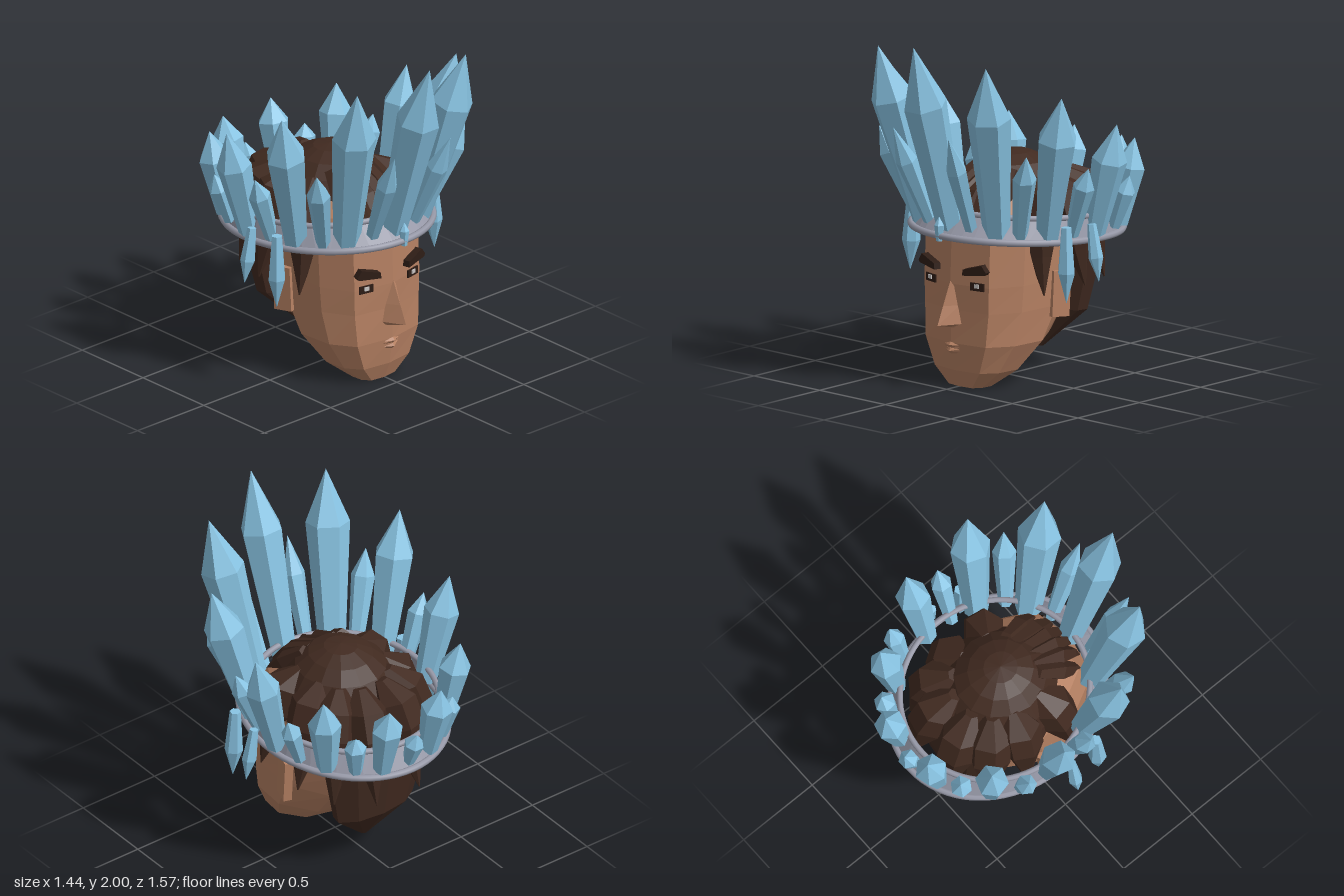
import * as THREE from 'three';

const V = (x, y, z) => new THREE.Vector3(x, y, z);

// Flat-shaded skin over cross-sections that run counter-clockwise around the loft direction
function loft(rings, caps = true) {
  const pos = [];
  const tri = (a, b, c) => [a, b, c].forEach(p => pos.push(p.x, p.y, p.z));
  const n = rings[0].length;
  for (let k = 0; k < rings.length - 1; k++) {
    for (let i = 0; i < n; i++) {
      const j = (i + 1) % n, a = rings[k], b = rings[k + 1];
      tri(a[i], a[j], b[j]);
      tri(a[i], b[j], b[i]);
    }
  }
  if (caps) {
    const first = rings[0], last = rings[rings.length - 1];
    for (let i = 1; i < n - 1; i++) {
      tri(first[0], first[i + 1], first[i]);
      tri(last[0], last[i], last[i + 1]);
    }
  }
  const g = new THREE.BufferGeometry();
  g.setAttribute('position', new THREE.Float32BufferAttribute(pos, 3));
  g.computeVertexNormals();
  return g;
}

// Tapered n-sided spike through a few points, with corners along the crown's tangent
function spike(points, radii, n = 6) {
  const d = points[points.length - 1].clone().sub(points[0]).normalize();
  const u = V(points[0].z, 0, -points[0].x);
  u.addScaledVector(d, -d.dot(u)).normalize();
  const v = d.clone().cross(u);
  return loft(points.map((p, k) => Array.from({ length: n }, (_, i) => {
    const a = i / n * Math.PI * 2;
    return p.clone().addScaledVector(u, Math.cos(a) * radii[k]).addScaledVector(v, Math.sin(a) * radii[k]);
  })));
}

// Horizontal head-shaped section: height, half width, front z, back z
function section([y, w, zf, zb]) {
  const half = [[0, 1], [0.68, 0.94], [0.95, 0.73], [1, 0.4], [0.62, 0.1], [0, 0]];
  const mirrored = half.slice(1, 5).reverse().map(([x, f]) => [-x, f]);
  return half.concat(mirrored).map(([x, f]) => V(x * w, y, zb + (zf - zb) * f));
}

// Triangular section for nose and lips: height, half width, ridge z
const wedge = ([y, w, z]) => [V(0, y, z), V(w, y, 0.447), V(-w, y, 0.447)];

export function createModel() {
  const model = new THREE.Group();
  const mat = (name, color) => {
    const m = new THREE.MeshStandardMaterial({ color });
    m.name = name;
    return m;
  };
  const skin = mat('skin', 0xb58062);
  const hair = mat('hair', 0x412a20);
  const dark = mat('dark brown', 0x2e1d16);
  const white = mat('eye white', 0xc9c5c4);
  const ice = mat('ice blue', 0x88c3e2);
  const metal = mat('metal', 0x9799a8);
  metal.side = THREE.DoubleSide;
  const add = (name, geometry, material) => {
    const m = new THREE.Mesh(geometry, material);
    m.name = name;
    model.add(m);
    return m;
  };

  // Head, nose and lips
  add('head', loft([
    [0, 0.13, 0.4, 0.19], [0.1, 0.25, 0.44, 0.02], [0.26, 0.335, 0.465, -0.18],
    [0.45, 0.355, 0.465, -0.34], [0.6, 0.36, 0.47, -0.39], [0.86, 0.36, 0.46, -0.42],
    [1.0, 0.32, 0.38, -0.38], [1.12, 0.22, 0.22, -0.28]
  ].map(section)), skin);
  add('nose', loft([[0.35, 0.05, 0.47], [0.375, 0.07, 0.575], [0.48, 0.05, 0.53], [0.62, 0.03, 0.468]].map(wedge)), skin);
  add('lowerLip', loft([[0.2, 0.035, 0.465], [0.215, 0.055, 0.48], [0.23, 0.06, 0.468]].map(wedge)), skin);
  add('upperLip', loft([[0.235, 0.07, 0.47], [0.25, 0.07, 0.482], [0.265, 0.04, 0.468]].map(wedge)), skin);

  // Ears, eyes and brows
  for (const s of [1, -1]) {
    const ear = add('ear', new THREE.BoxGeometry(0.05, 0.26, 0.11), skin);
    ear.position.set(s * 0.37, 0.52, -0.025);
    ear.rotation.set(-0.06, s * -0.3, 0);

    const eye = new THREE.Group();
    eye.name = 'eye';
    [[0.09, 0.045, 0, 0, dark], [0.03, 0.022, 0.005, 0.007, white]].forEach(([w, h, y, z, m]) => {
      const plate = new THREE.Mesh(new THREE.BoxGeometry(w, h, 0.008), m);
      plate.name = 'eyePlate';
      plate.position.set(0, y, z);
      eye.add(plate);
    });
    eye.position.set(s * 0.175, 0.602, 0.438);
    eye.rotation.y = s * 0.2;
    model.add(eye);

    const shape = new THREE.Shape([[0.095, 0.665], [0.24, 0.68], [0.25, 0.695], [0.22, 0.735], [0.1, 0.7]]
      .map(([x, y]) => new THREE.Vector2(s * x, y)));
    const brow = add('brow', new THREE.ExtrudeGeometry(shape, { depth: 0.055, bevelEnabled: false }), dark);
    brow.position.z = 0.455;
    brow.rotation.y = s * 0.22;
  }

  // Hair: cap, hanging locks, fringe and long back piece
  const cap = new THREE.SphereGeometry(1, 14, 6, 0, Math.PI * 2, 0, Math.PI / 2);
  cap.scale(0.36, 0.42, 0.38);
  cap.translate(0, 0.865, -0.05);
  const flatCap = cap.toNonIndexed();
  flatCap.computeVertexNormals();
  add('hairCap', flatCap, hair);

  const locks = [[0.33, 0.1], [0.33, -0.17], [0.27, -0.36], [0.12, -0.48]];
  for (const s of [1, -1]) {
    for (const [x, z] of locks) {
      const at = (k, y) => V(s * x * k, y, -0.08 + (z + 0.08) * k);
      add('hairLock', spike([at(0.6, 1.16), at(0.85, 1.07), at(1, 0.92), at(1.1, 0.74), at(1.24, 0.54)],
        [0.04, 0.12, 0.12, 0.065, 0.004]), hair);
    }
    for (const [x, z] of [[0.035, 0.42], [0.11, 0.41], [0.19, 0.36]]) {
      add('fringeLock', spike([V(s * x * 0.7, 1.2, 0.1), V(s * x * 0.9, 1.08, z - 0.13), V(s * x, 0.98, z - 0.03), V(s * x * 1.05, 0.87, z + 0.02)],
        [0.04, 0.06, 0.035, 0.004], 5), hair);
    }
  }
  add('backHair', loft([
    [0.12, 0.02, -0.25, -0.28], [0.35, 0.26, -0.25, -0.45], [0.7, 0.34, -0.25, -0.51], [0.95, 0.34, -0.2, -0.49]
  ].map(section)), hair);

  // Tilted oval band: sloping wall between two rails
  const oval = (rx, rz, cz, y) => Array.from({ length: 48 }, (_, i) => {
    const a = i / 48 * Math.PI * 2, z = cz + rz * Math.cos(a);
    return V(rx * Math.sin(a), y + 0.07 * z, z);
  });
  const lower = oval(0.55, 0.635, -0.075, 0.85), upper = oval(0.515, 0.54, -0.09, 0.98);
  add('bandWall', loft([lower, upper], false), metal);
  const rail = (name, pts, r) =>
    add(name, new THREE.TubeGeometry(new THREE.CatmullRomCurve3(pts, true), 72, r, 8, true), metal);
  rail('lowerRail', lower, 0.02);
  rail('upperRail', upper, 0.017);

  // Crystals: base xyz, tip xyz, shoulder height, shoulder radius
  const crystals = [
    [0, 0.9, 0.46, 0, 2.0, 0.77, 1.66, 0.125],
    [0.27, 0.9, 0.38, 0.41, 1.92, 0.62, 1.62, 0.125],
    [0.45, 0.89, 0.16, 0.66, 1.73, 0.27, 1.48, 0.118],
    [0.15, 0.9, 0.45, 0.21, 1.5, 0.71, 1.3, 0.062],
    [0.38, 0.89, 0.31, 0.56, 1.41, 0.45, 1.27, 0.068],
    [0.5, 0.87, 0.02, 0.66, 1.29, 0.05, 1.18, 0.063],
    [0.52, 0.87, -0.15, 0.68, 1.51, -0.16, 1.3, 0.1],
    [0.5, 0.87, -0.33, 0.6, 1.17, -0.35, 1.08, 0.06],
    [0.41, 0.85, -0.46, 0.48, 1.34, -0.52, 1.18, 0.095],
    [0.3, 0.84, -0.58, 0.34, 1.1, -0.63, 1.03, 0.063],
    [0.16, 0.83, -0.64, 0.18, 1.27, -0.735, 1.14, 0.092],
    [0, 0.83, -0.67, 0, 1.05, -0.75, 0.98, 0.057],
    [0, 0.86, 0.56, 0, 1.0, 0.56, 0.95, 0.03],
    // hanging ones
    [0.585, 0.96, 0.15, 0.595, 0.53, 0.16, 0.7, 0.052],
    [0.6, 0.95, -0.04, 0.655, 0.63, -0.04, 0.76, 0.042]
  ];
  for (const [bx, by, bz, tx, ty, tz, sy, r] of crystals) {
    for (const s of bx ? [1, -1] : [1]) {
      const base = V(s * bx, by, bz), tip = V(s * tx, ty, tz);
      const shoulder = base.clone().lerp(tip, (sy - by) / (ty - by));
      add(ty > by ? 'crystal' : 'hangingCrystal', spike([base, shoulder, tip], [r * 0.6, r, 0.001]), ice);
    }
  }
  return model;
}
